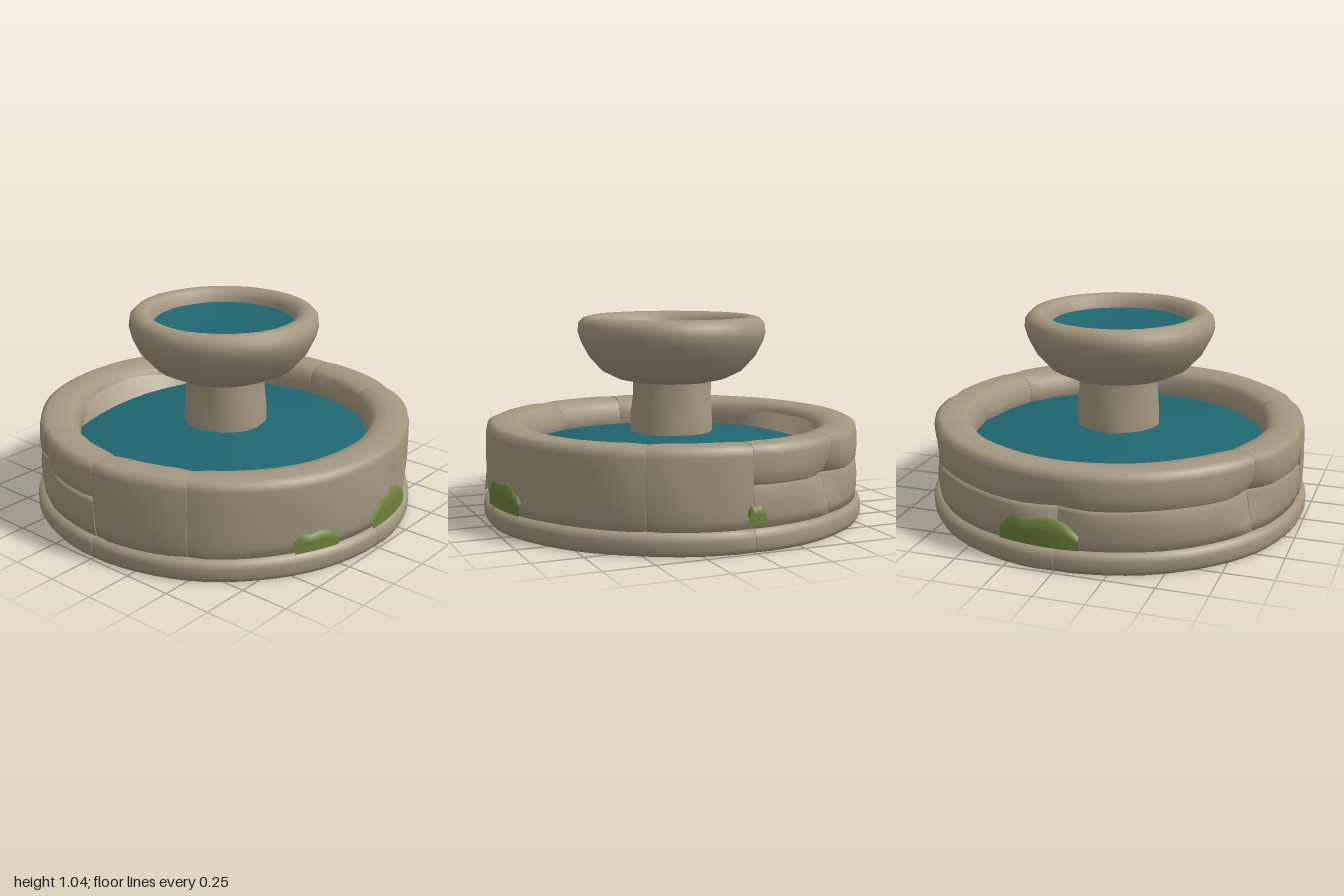
import * as THREE from 'three';
import { mergeGeometries, mergeVertices } from 'three/addons/utils/BufferGeometryUtils.js';

const mat = (name, color, side = THREE.FrontSide) => {
  const m = new THREE.MeshStandardMaterial({ color, side });
  m.name = name;
  return m;
};
const rad = THREE.MathUtils.degToRad;
const pts = (list) => list.map(([r, y]) => new THREE.Vector2(r, y));

// Chipped spots: x, y, z, radius, depth
const chips = [
  [0.17, 0.29, 0.96, 0.1, 0.025], [0.84, 0.28, -0.49, 0.15, 0.06],
  [0, 0.28, -0.97, 0.13, 0.05], [-0.84, 0.27, -0.49, 0.14, 0.05],
];

// Worn stone: a gentle radial wave plus the chips
function weather(geo, amount) {
  const p = geo.attributes.position, v = new THREE.Vector3();
  for (let i = 0; i < p.count; i++) {
    v.fromBufferAttribute(p, i);
    const a = Math.atan2(v.x, v.z);
    let k = amount * (Math.sin(5 * a + 9 * v.y) + 0.6 * Math.sin(11 * a - 14 * v.y));
    const r = Math.hypot(v.x, v.z);
    if (r > 0.9) {
      for (const [x, y, z, size, depth] of chips) {
        const d = Math.hypot(v.x - x, v.y - y, v.z - z);
        if (d < size) k -= depth * (1 - d / size);
      }
    }
    const s = r > 1e-4 ? (r + k) / r : 1;
    p.setXYZ(i, v.x * s, v.y, v.z * s);
  }
  geo.computeVertexNormals();
  return geo;
}

// Solid curved block: closed profile swept from angle a to b, with softened ends
function arcBlock(profile, a, b) {
  const start = rad(a + 0.05), sweep = rad(b - a - 0.1);
  const n = Math.max(6, Math.round((b - a) / 5));
  const c = profile.reduce((s, [r, y]) => [s[0] + r / profile.length, s[1] + y / profile.length], [0, 0]);
  const small = profile.map(([r, y]) => [c[0] + (r - c[0]) * 0.9, c[1] + (y - c[1]) * 0.97]);
  const side = new THREE.LatheGeometry(pts([...profile, profile[0]]), n, start, sweep);
  const pos = side.attributes.position, rows = profile.length + 1;
  for (const col of [0, n]) {
    const phi = start + (col / n) * sweep;
    for (let j = 0; j < rows; j++) {
      const [r, y] = small[j % profile.length];
      pos.setXYZ(col * rows + j, r * Math.sin(phi), y, r * Math.cos(phi));
    }
  }
  const cap = (phi, flip) => {
    const g = new THREE.ShapeGeometry(new THREE.Shape(pts(small)));
    if (flip) g.setIndex(Array.from(g.index.array).reverse());
    return g.rotateY(phi - Math.PI / 2);
  };
  return mergeGeometries([side, cap(start, false), cap(start + sweep, true)].map((g) => weather(g, 0.003)));
}

// Full turned part with smooth normals all the way round
function turned(profile, segments, wear = 0) {
  const g = new THREE.LatheGeometry(pts(profile), segments);
  g.deleteAttribute('uv');
  g.deleteAttribute('normal');
  return weather(mergeVertices(g, 1e-4), wear);
}

export function createModel() {
  const group = new THREE.Group();
  const stone = mat('stone', 0xa39781);
  const water = mat('water', 0x1f6670);
  const moss = mat('moss', 0x6d8139, THREE.DoubleSide);
  const add = (name, geo, material) => {
    const m = new THREE.Mesh(geo, material);
    m.name = name;
    group.add(m);
  };

  // Plinth ring in four quarters
  const plinth = [[0.92, 0], [0.98, 0], [0.993, 0.025], [0.994, 0.07], [0.985, 0.1], [0.95, 0.112], [0.91, 0.1]];
  for (let i = 0; i < 4; i++) add('plinthStone', arcBlock(plinth, i * 90, i * 90 + 90), stone);

  // Basin wall: whole blocks in front, two courses behind; the inner face flares out below the floor
  const rim = [[0.972, 0.45], [0.965, 0.485], [0.935, 0.499], [0.86, 0.502], [0.805, 0.49], [0.775, 0.46], [0.762, 0.4]];
  const foot = [[0.9, 0.1], [0.96, 0.1], [0.969, 0.16], [0.972, 0.22]];
  const whole = [...foot, [0.974, 0.28], [0.974, 0.36], ...rim, [0.762, 0.34]];
  const upper = [[0.78, 0.3], [0.945, 0.3], [0.968, 0.322], [0.974, 0.38], ...rim];
  const lower = [...foot, [0.969, 0.29], [0.95, 0.312], [0.78, 0.312]];
  for (const [a, b] of [[-60, 60], [60, 90], [270, 300]]) add('wallBlock', arcBlock(whole, a, b), stone);
  for (const [a, b] of [[90, 120], [120, 240], [240, 270]]) add('upperWallBlock', arcBlock(upper, a, b), stone);
  for (const [a, b] of [[90, 120], [120, 180], [180, 240], [240, 270]]) add('lowerWallBlock', arcBlock(lower, a, b), stone);

  // Sloping slab inside the back of the basin, deepest in the middle
  const slab = new THREE.LatheGeometry(pts([[0.785, 0.46], [0.68, 0.355]]), 16, rad(144), rad(72));
  const sp = slab.attributes.position;
  for (let i = 0; i <= 16; i++) {
    const t = i / 8 - 1, phi = rad(180 + 36 * t), r = 0.68 + 0.09 * t * t;
    sp.setXYZ(i * 2 + 1, r * Math.sin(phi), 0.355, r * Math.cos(phi));
  }
  slab.computeVertexNormals();
  add('backSlab', slab, stone);

  // Pool surface rising gently to the pedestal, and the basin floor beneath it
  add('poolWater', turned([[0.8, 0.35], [0.6, 0.378], [0.4, 0.407], [0.2, 0.435], [0, 0.45]], 32), water);
  add('basinFloor', turned([[0, 0.442], [0.2, 0.427], [0.4, 0.399], [0.6, 0.37], [0.8, 0.342]], 32), stone);

  // Pedestal through the middle
  const pedestal = turned([
    [0, 0.005], [0.2, 0.005], [0.218, 0.03], [0.22, 0.2], [0.218, 0.4], [0.216, 0.52], [0.206, 0.62], [0.207, 0.72],
  ], 20, 0.003);
  add('pedestal', pedestal.translate(0.006, 0, 0.003), stone);

  // Upper bowl with a rounded rim
  add('upperBowl', turned([
    [0, 0.69], [0.2, 0.692], [0.29, 0.712], [0.37, 0.752], [0.44, 0.83], [0.48, 0.91], [0.492, 0.955],
    [0.487, 1.0], [0.46, 1.028], [0.425, 1.036], [0.39, 1.024], [0.367, 0.99], [0.36, 0.94],
  ], 32, 0.002), stone);
  add('bowlWater', turned([[0.367, 0.965], [0.25, 0.945], [0.12, 0.935], [0, 0.932]], 32), water);

  // Moss patches: from angle, to angle, bottom and top height
  const patches = [[-2, 19, 0.112, 0.25], [-30, -16, 0.115, 0.212], [88, 93.5, 0.132, 0.222], [163, 187, 0.118, 0.255]];
  for (const [a, b, bottom, top] of patches) {
    const n = 10;
    const g = new THREE.LatheGeometry(pts([[0.985, 0.1], [0.985, 0.16], [0.982, 0.2], [0.955, 0.21]]), n, rad(a), rad(b - a));
    const p = g.attributes.position;
    for (let i = 0; i <= n; i++) {
      const t = i / n;
      const fill = Math.min(1, 0.5 + 3 * Math.min(t, 1 - t)) * (0.95 + 0.05 * Math.sin(i * 1.3));
      for (let j = 0; j < 4; j++) p.setY(i * 4 + j, bottom + (top - bottom) * fill * [0, 0.55, 0.93, 1][j]);
    }
    g.computeVertexNormals();
    add('mossPatch', g, moss);
  }
  return group;
}
